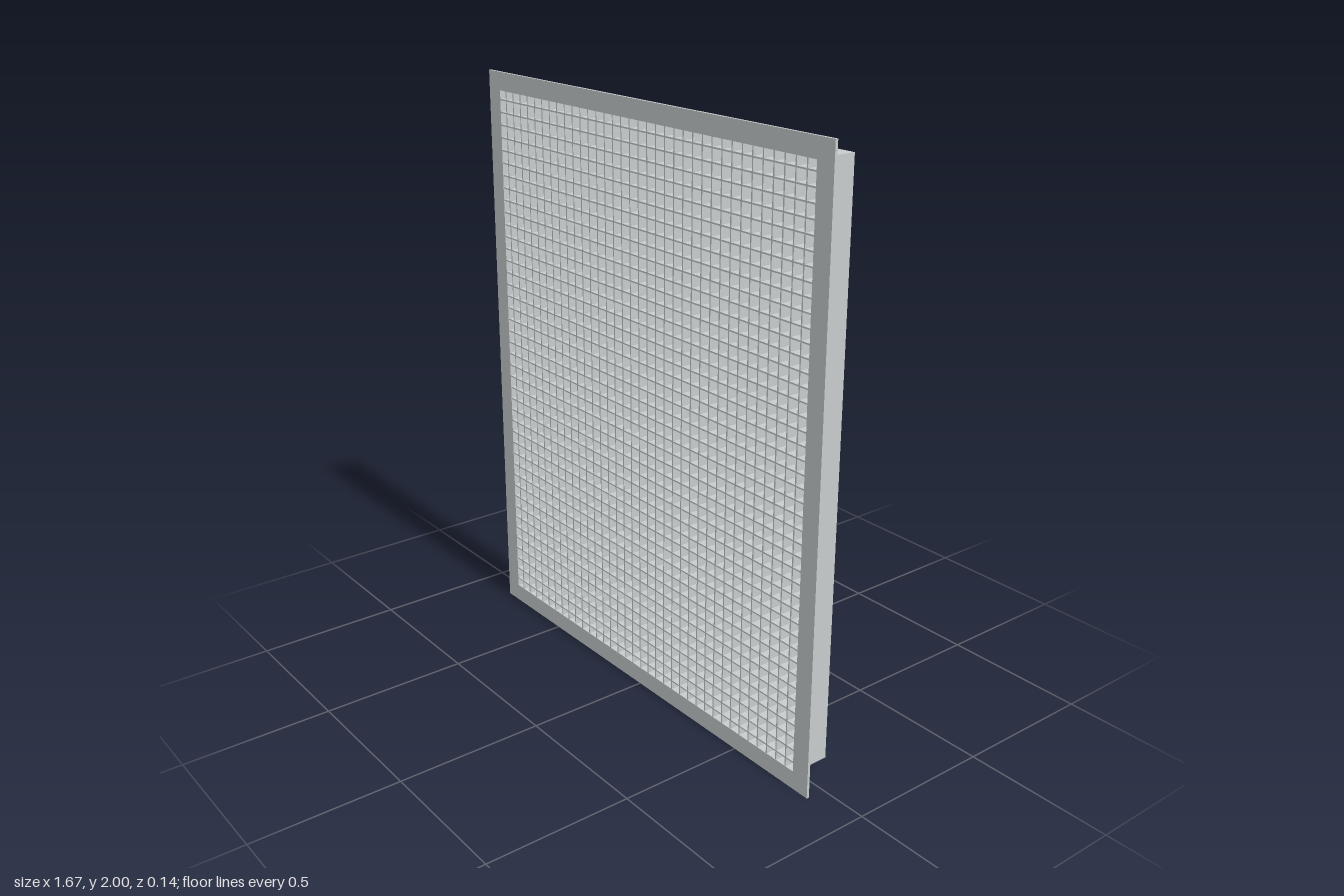
import * as THREE from 'three';

const metal = new THREE.MeshStandardMaterial({ color: 0xc7cccd });
metal.name = 'light grey metal';
const dark = new THREE.MeshStandardMaterial({ color: 0x313131 });
dark.name = 'dark backing';

// Rectangular ring between two half-sizes, extruded from z0 to z1
function ring(name, hw, hh, iw, ih, z0, z1) {
  const rect = (C, w, h) => new C([[-w, -h], [w, -h], [w, h], [-w, h]].map(([x, y]) => new THREE.Vector2(x, y)));
  const shape = rect(THREE.Shape, hw, hh);
  shape.holes.push(rect(THREE.Path, iw, ih));
  const mesh = new THREE.Mesh(new THREE.ExtrudeGeometry(shape, { depth: z1 - z0, bevelEnabled: false }), metal);
  mesh.name = name;
  mesh.position.set(0, 1, z0);
  return mesh;
}

function box(name, w, h, d, x, y, z, material) {
  const mesh = new THREE.Mesh(new THREE.BoxGeometry(w, h, d), material);
  mesh.name = name;
  mesh.position.set(x, y, z);
  return mesh;
}

export function createModel() {
  const model = new THREE.Group();
  model.name = 'eggcrateGrille';
  const W = 0.774, H = 0.942, wall = 0.004, front = 0.069, back = -0.069;
  const iw = W - wall, ih = H - wall;

  // Flange and the neck behind it
  model.add(ring('frontFlange', 0.835, 1, iw, ih, front - 0.009, front));
  model.add(ring('neck', W, H, iw, ih, back + 0.004, front - 0.009));

  // Light panel closing the neck, with a slightly inset dark sheet behind it
  model.add(box('innerPanel', 2 * iw, 2 * ih, 0.004, 0, 1, back + 0.006, metal));
  model.add(box('backSheet', 2 * W - 0.02, 2 * H - 0.02, 0.004, 0, 1, back + 0.002, dark));

  // Crossed thin blades forming square cells
  const crate = new THREE.Group();
  crate.name = 'eggcrateCore';
  const pitch = 0.0432, t = 0.005, depth = 0.043, z = front - 0.001 - depth / 2;
  for (let i = -17; i <= 17; i++) crate.add(box('verticalBlade', t, 2 * ih, depth, i * pitch, 1, z, metal));
  for (let j = -21; j <= 21; j++) crate.add(box('horizontalBlade', 2 * iw, t, depth, 0, 1 + j * pitch, z, metal));
  model.add(crate);
  return model;
}
